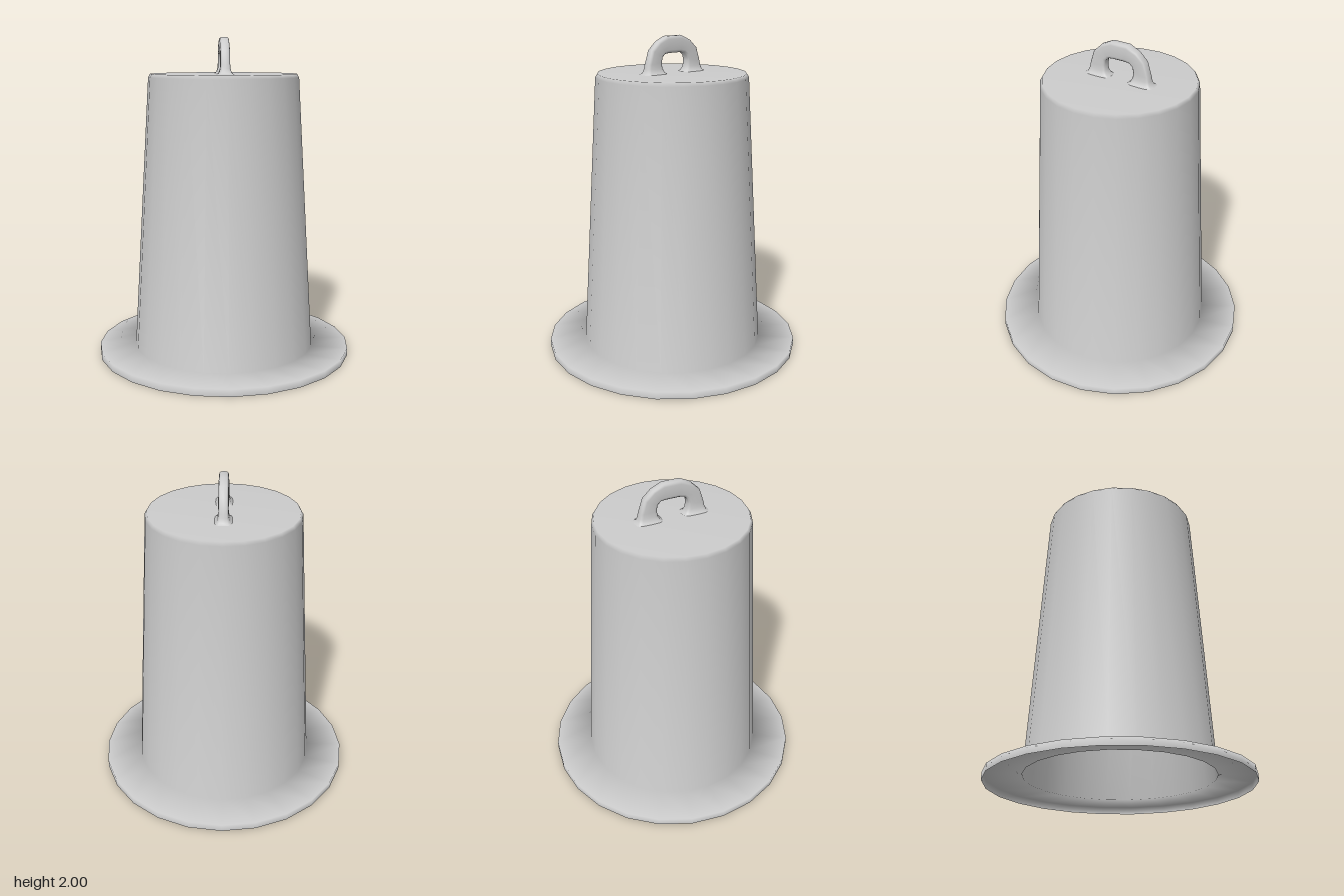
import * as THREE from 'three';

const material = new THREE.MeshStandardMaterial({ color: 0xcccccc, side: THREE.DoubleSide });

// Thin open shell: lip, brim, tapered wall, small bevel and closed top
function makeBody() {
  const profile = [
    [0.805, 0], [0.805, 0.045], [0.575, 0.045],
    [0.47, 1.755], [0.457, 1.777], [0, 1.777],
  ].map(([r, y]) => new THREE.Vector2(r, y));
  const body = new THREE.Mesh(new THREE.LatheGeometry(profile, 24), material);
  body.name = 'taperedBodyWithBrim';
  return body;
}

// Loop handle: rounded cross-sections carried from one flared foot to the other
function makeHandle() {
  // outer z, outer y, inner z, inner y, half width
  const half = [
    [0.235, 1.775, 0.06, 1.775, 0.055],
    [0.215, 1.785, 0.078, 1.786, 0.04],
    [0.205, 1.81, 0.092, 1.81, 0.032],
    [0.2, 1.835, 0.095, 1.845, 0.03],
    [0.173, 1.92, 0.09, 1.875, 0.03],
    [0.12, 1.97, 0.07, 1.893, 0.03],
    [0.055, 2.0, 0.04, 1.896, 0.03],
  ];
  const mirrored = half.slice().reverse().map(([zo, yo, zi, yi, w]) => [-zo, yo, -zi, yi, w]);
  const stations = [...half, ...mirrored];
  const sides = 16;
  const positions = [];
  const indices = [];
  const squash = (t) => Math.sign(t) * Math.sqrt(Math.abs(t));

  stations.forEach(([zo, yo, zi, yi, w], i) => {
    for (let j = 0; j < sides; j++) {
      const angle = (j / sides) * Math.PI * 2;
      const u = (1 + squash(Math.cos(angle))) / 2;
      positions.push(
        w * squash(Math.sin(angle)),
        THREE.MathUtils.lerp(yi, yo, u),
        THREE.MathUtils.lerp(zi, zo, u) - 0.005,
      );
      if (i < stations.length - 1) {
        const a = i * sides + j;
        const b = i * sides + ((j + 1) % sides);
        indices.push(a, b, a + sides, b, b + sides, a + sides);
      }
    }
  });

  const geometry = new THREE.BufferGeometry();
  geometry.setAttribute('position', new THREE.Float32BufferAttribute(positions, 3));
  geometry.setIndex(indices);
  geometry.computeVertexNormals();
  const handle = new THREE.Mesh(geometry, material);
  handle.name = 'loopHandle';
  return handle;
}

export function createModel() {
  const model = new THREE.Group();
  model.name = 'taperedCover';
  model.add(makeBody(), makeHandle());
  return model;
}
